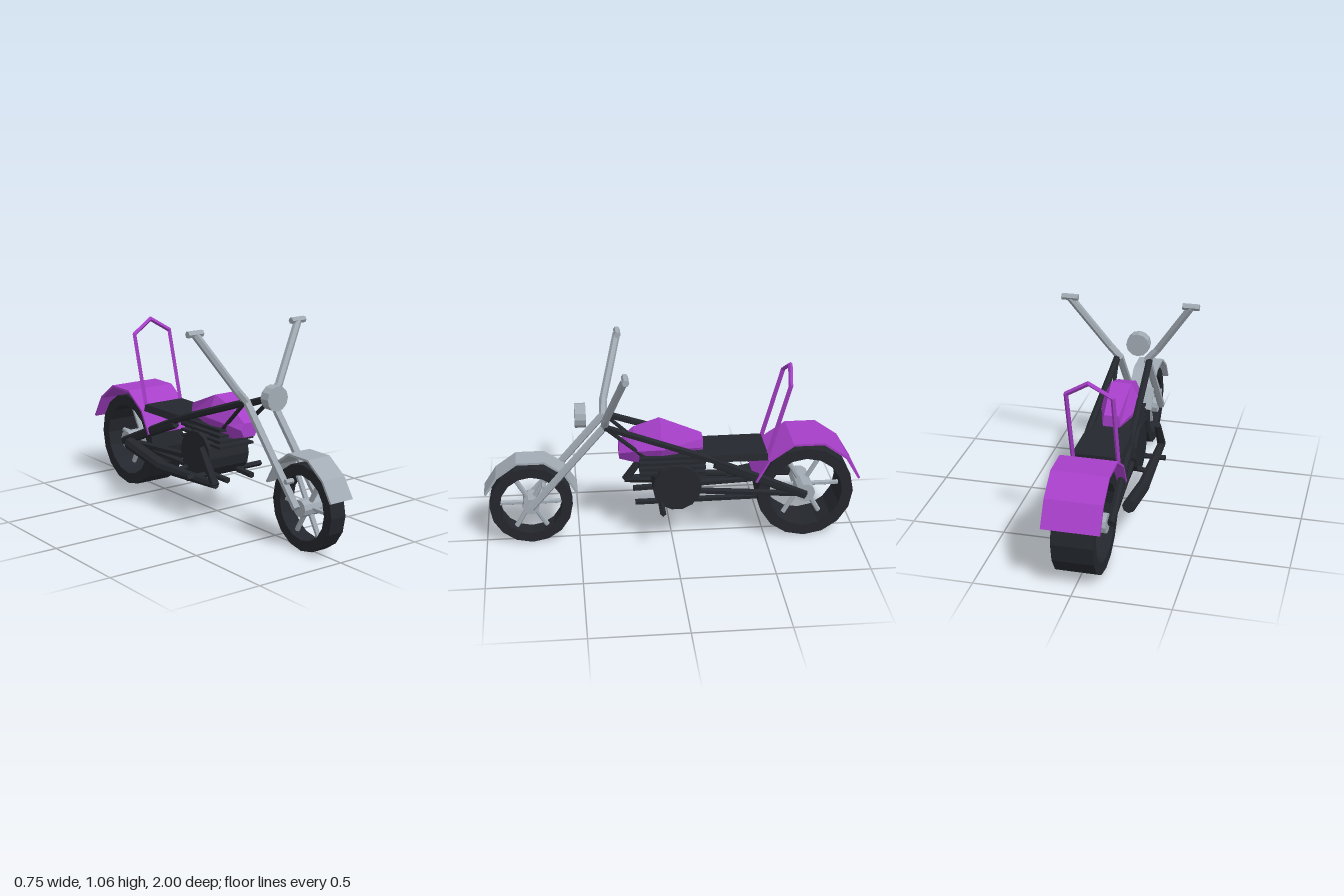
import * as THREE from 'three';

const mat = (color) => new THREE.MeshStandardMaterial({ color, flatShading: true, side: THREE.DoubleSide });
const V = (p) => new THREE.Vector3(...p);

export function createModel() {
  const bike = new THREE.Group();
  const purple = mat(0xa63fc8), dark = mat(0x24272d), steel = mat(0xa2abb4);

  const add = (name, geo, material, parent = bike) => {
    const m = new THREE.Mesh(geo, material);
    m.name = name;
    parent.add(m);
    return m;
  };
  // Straight bar between two points, with its own radius at each end
  const rod = (name, a, b, r, material, parent = bike, sides = 6, r2 = r) => {
    const A = V(a), B = V(b), d = B.clone().sub(A);
    const m = add(name, new THREE.CylinderGeometry(r2, r, d.length(), sides), material, parent);
    m.position.copy(A).add(B).multiplyScalar(0.5);
    m.quaternion.setFromUnitVectors(new THREE.Vector3(0, 1, 0), d.normalize());
    return m;
  };
  // Bent bar: each piece runs slightly past its inner joints
  const bentBar = (name, pts, r, material, sides = 6) => {
    const g = new THREE.Group();
    g.name = name;
    bike.add(g);
    for (let i = 0; i < pts.length - 1; i++) {
      const A = V(pts[i]), B = V(pts[i + 1]);
      const e = B.clone().sub(A).setLength(r * 0.3);
      if (i > 0) A.sub(e);
      if (i < pts.length - 2) B.add(e);
      rod(name + 'Piece', A.toArray(), B.toArray(), r, material, g, sides);
    }
  };
  // Solid skin through rings of equal point count, with capped ends
  const loft = (rings) => {
    const n = rings[0].length, pos = rings.flat(2), idx = [];
    for (let i = 0; i < rings.length - 1; i++) {
      for (let j = 0; j < n; j++) {
        const a = i * n + j, b = i * n + (j + 1) % n;
        idx.push(a, b, b + n, a, b + n, a + n);
      }
    }
    const last = (rings.length - 1) * n;
    for (let j = 1; j < n - 1; j++) idx.push(0, j + 1, j, last, last + j, last + j + 1);
    const g = new THREE.BufferGeometry();
    g.setAttribute('position', new THREE.Float32BufferAttribute(pos, 3));
    g.setIndex(idx);
    g.computeVertexNormals();
    return g;
  };

  // Wheels: square-section tyre, hub and six spokes
  const wheel = (name, y, z, R, r, half, hubR, hubHalf) => {
    const g = new THREE.Group();
    g.name = name;
    g.position.set(0, y, z);
    bike.add(g);
    const profile = [[r, -half], [R, -half], [R, half], [r, half], [r, -half]].map((p) => new THREE.Vector2(...p));
    add('tyre', new THREE.LatheGeometry(profile, 16), dark, g).rotation.z = Math.PI / 2;
    rod('hub', [-hubHalf, 0, 0], [hubHalf, 0, 0], hubR, steel, g, 10);
    for (let i = 0; i < 6; i++) {
      const a = i * Math.PI / 3, c = Math.cos(a), s = Math.sin(a);
      rod('spoke', [0, s * hubR * 0.8, c * hubR * 0.8], [0, s * (r + 0.01), c * (r + 0.01)], 0.014, steel, g);
    }
  };
  wheel('frontWheel', 0.222, 0.755, 0.222, 0.167, 0.045, 0.045, 0.06);
  wheel('rearWheel', 0.26, -0.715, 0.26, 0.2, 0.106, 0.052, 0.115);

  // Fenders: thin angular strips, points are [z, y] from front to back
  const fender = (name, pts, half, material) => {
    const t = 0.012;
    const mid = pts[0][0] / 2 + pts[pts.length - 1][0] / 2;
    const rings = pts.map(([z, y]) => {
      const d = new THREE.Vector2(z - mid, y - 0.2).setLength(t);
      return [[-half, y, z], [half, y, z], [half, y - d.y, z - d.x], [-half, y - d.y, z - d.x]];
    });
    add(name, loft(rings), material);
  };
  fender('frontFender', [[1, 0.31], [0.935, 0.41], [0.825, 0.488], [0.675, 0.488], [0.57, 0.415], [0.505, 0.305]], 0.07, steel);
  fender('rearFender', [[-0.435, 0.355], [-0.505, 0.48], [-0.635, 0.568], [-0.8, 0.568], [-0.925, 0.48], [-1, 0.355]], 0.147, purple);
  const lamp = add('tailLamp', new THREE.BoxGeometry(0.1, 0.035, 0.04), purple);
  lamp.position.set(0, 0.53, -0.815);
  lamp.rotation.x = -0.5;

  // Headlight
  rod('headlight', [0, 0.72, 0.45], [0, 0.72, 0.508], 0.065, steel, bike, 12);

  for (const s of [-1, 1]) {
    // Fork leg, stub and high handlebar
    bentBar('forkAndHandlebar', [[s * 0.078, 0.225, 0.755], [s * 0.078, 0.685, 0.355],
      [s * 0.135, 0.75, 0.35], [s * 0.33, 1.045, 0.262]], 0.021, steel);
    rod('grip', [s * 0.285, 1.049, 0.26], [s * 0.376, 1.049, 0.26], 0.018, steel);
    rod('fenderStub', [s * 0.045, 0.347, 0.685], [s * 0.093, 0.347, 0.685], 0.014, steel);

    // Frame: backbone to the rear axle, down tube and lower stays
    bentBar('backbone', [[s * 0.09, 0.685, 0.355], [s * 0.115, 0.5, -0.17], [s * 0.13, 0.262, -0.715]], 0.019, dark);
    rod('downTube', [s * 0.09, 0.68, 0.35], [s * 0.075, 0.5, 0.15], 0.011, dark);
    rod('seatStay', [s * 0.115, 0.455, -0.22], [s * 0.13, 0.255, -0.71], 0.022, dark);
    rod('chainStay', [s * 0.1, 0.3, -0.1], [s * 0.13, 0.265, -0.715], 0.019, dark);
    rod('lowerRail', [s * 0.08, 0.235, 0.2], [s * 0.1, 0.25, -0.45], 0.018, dark);
    rod('footPeg', [s * 0.1, 0.242, 0.065], [s * 0.245, 0.242, 0.065], 0.016, dark, bike, 4);
  }

  // Backrest hoop
  bentBar('backrestHoop', [[-0.117, 0.47, -0.495], [-0.117, 0.89, -0.61], [0, 0.963, -0.625],
    [0.117, 0.89, -0.61], [0.117, 0.47, -0.495]], 0.012, purple, 4);

  // Fuel tank: rings of [z, bottom, middle, top, bottom half, middle half, top half]
  const tank = [
    [0.28, 0.475, 0.515, 0.55, 0.035, 0.055, 0.035],
    [0.2, 0.455, 0.535, 0.62, 0.045, 0.085, 0.05],
    [0.06, 0.45, 0.55, 0.665, 0.06, 0.112, 0.055],
    [-0.165, 0.475, 0.525, 0.575, 0.035, 0.048, 0.04],
  ].map(([z, b, m, t, wb, wm, wt]) =>
    [[-wb, b, z], [-wm, m, z], [-wt, t, z], [wt, t, z], [wm, m, z], [wb, b, z]].reverse());
  add('fuelTank', loft(tank), purple);

  // Seat: narrow at the tank, wide at the back
  const seat = [[-0.02, 0.07], [-0.2, 0.13], [-0.5, 0.133]].map(([z, w]) =>
    [[-w, 0.475, z], [-w * 0.93, 0.512, z], [w * 0.93, 0.512, z], [w, 0.475, z]].reverse());
  add('seat', loft(seat), dark);

  // Engine: crankcase drum with cooling fins above it
  rod('crankcase', [-0.13, 0.333, -0.02], [0.13, 0.333, -0.02], 0.13, dark, bike, 14);
  add('cylinderBlock', new THREE.BoxGeometry(0.16, 0.1, 0.24), dark).position.set(0, 0.45, 0);
  for (let i = 0; i < 4; i++) {
    const fin = add('coolingFin', new THREE.BoxGeometry(0.22, 0.013, 0.35), dark);
    fin.position.set(0, 0.405 + i * 0.031, 0);
  }

  // Exhaust: slim header, wide muffler sweeping back
  const ex = -0.188;
  rod('exhaustHeader', [ex, 0.41, 0.115], [ex, 0.235, 0.235], 0.018, dark, bike, 6, 0.024);
  rod('exhaustBend', [ex, 0.24, 0.24], [ex, 0.222, -0.25], 0.022, dark, bike, 8, 0.034);
  rod('muffler', [ex, 0.222, -0.24], [ex, 0.285, -0.57], 0.035, dark, bike, 8);
  rod('exhaustMount', [ex, 0.24, -0.1], [-0.1, 0.25, -0.1], 0.014, dark);

  return bike;
}
